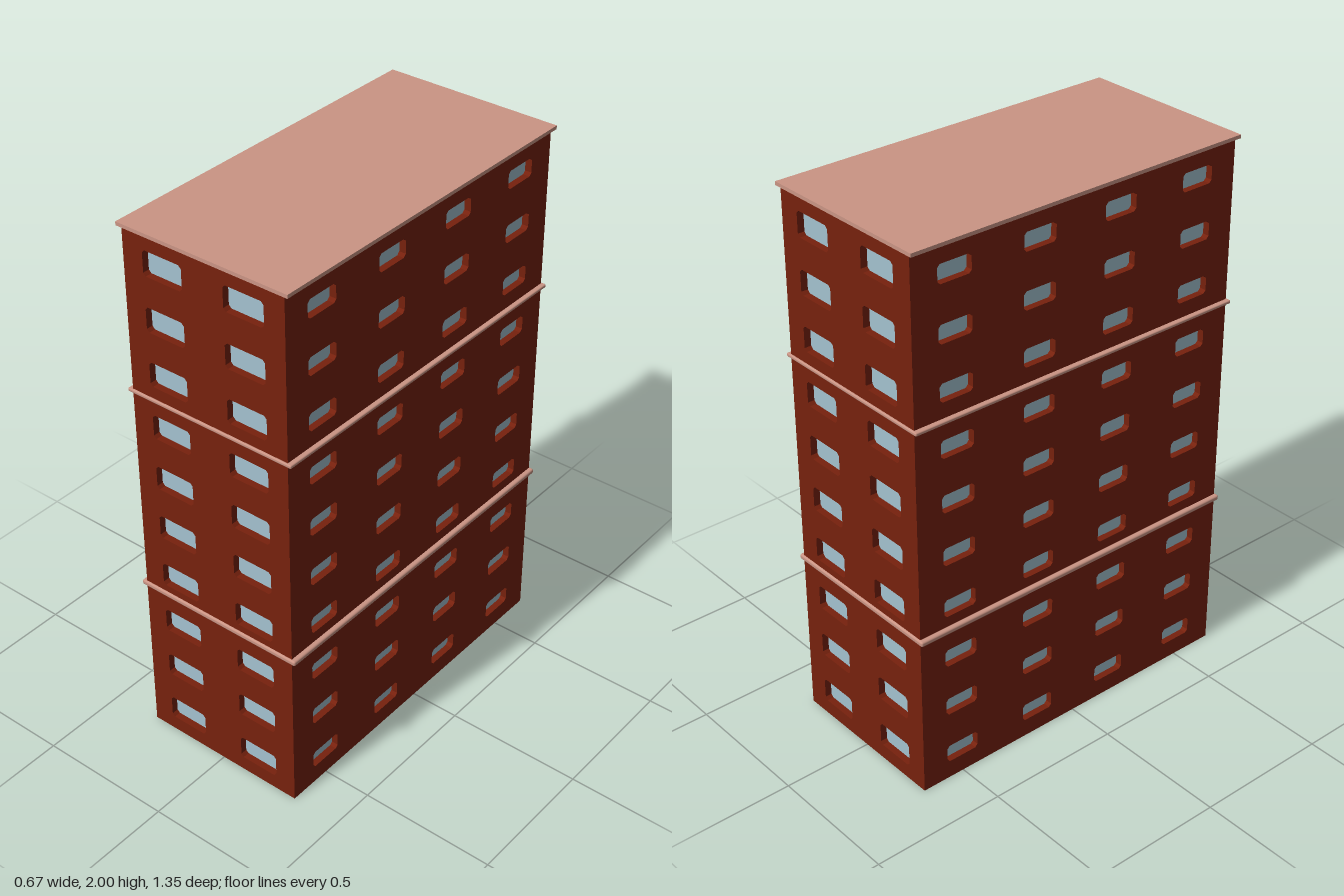
import * as THREE from 'three';
import { RoundedBoxGeometry } from 'three/addons/geometries/RoundedBoxGeometry.js';

const HX = 0.318, HZ = 0.667, TOP = 1.99, RECESS = 0.025;
const ROWS = Array.from({ length: 10 }, (_, i) => 0.1 + i * 0.199);

function material(name, color) {
  const m = new THREE.MeshStandardMaterial({ color });
  m.name = name;
  return m;
}

// Rectangle with clipped corners, used for each window opening
function clippedRect(cx, cy, w, h, c) {
  const a = w / 2, b = h / 2;
  return [
    [-a + c, -b], [-a, -b + c], [-a, b - c], [-a + c, b],
    [a - c, b], [a, b - c], [a, -b + c], [a - c, -b],
  ].map(([x, y]) => new THREE.Vector2(cx + x, cy + y));
}

export function createModel() {
  const brick = material('brick', 0x77210d);
  const stone = material('stone', 0xcb9585);
  const glass = material('glass', 0xa4c2d0);
  const model = new THREE.Group();
  model.name = 'building';

  const add = (parent, name, geometry, mat, x = 0, y = 0, z = 0) => {
    const mesh = new THREE.Mesh(geometry, mat);
    mesh.name = name;
    mesh.position.set(x, y, z);
    parent.add(mesh);
  };

  // A wall with recessed windows; its outer face lies at local z = 0
  function makeWall(name, halfWidth, columns, w, h) {
    const wall = new THREE.Group();
    wall.name = name;
    const shape = new THREE.Shape([
      new THREE.Vector2(-halfWidth, 0), new THREE.Vector2(halfWidth, 0),
      new THREE.Vector2(halfWidth, TOP), new THREE.Vector2(-halfWidth, TOP),
    ]);
    const pane = new THREE.BoxGeometry(w + 0.01, h + 0.01, 0.006);
    for (const x of columns) {
      for (const y of ROWS) {
        shape.holes.push(new THREE.Path(clippedRect(x, y, w, h, 0.01)));
        add(wall, 'windowPane', pane, glass, x, y, -RECESS - 0.003);
      }
    }
    const brickwork = new THREE.ExtrudeGeometry(shape, { depth: RECESS, bevelEnabled: false });
    add(wall, 'brickwork', brickwork, brick, 0, 0, -RECESS);
    model.add(wall);
    return wall;
  }

  // End walls have two window columns, long walls have four
  for (const s of [1, -1]) {
    const end = makeWall(s > 0 ? 'frontWall' : 'backWall', HX, [-0.16, 0.16], 0.157, 0.09);
    end.position.z = s * HZ;
    end.rotation.y = s > 0 ? 0 : Math.PI;
    const side = makeWall(s > 0 ? 'leftWall' : 'rightWall', HZ - RECESS,
      [-0.501, -0.167, 0.167, 0.501], 0.13, 0.066);
    side.position.x = s * HX;
    side.rotation.y = s * Math.PI / 2;
  }

  // Base plate closes the underside
  add(model, 'floor', new THREE.BoxGeometry(2 * (HX - RECESS), 0.01, 2 * (HZ - RECESS)), brick, 0, 0.005, 0);

  // Projecting stone courses and the roof slab
  for (const [y, h] of [[0.616, 0.02], [1.398, 0.013]]) {
    add(model, 'stoneBand', new RoundedBoxGeometry(0.67, h, 1.348, 2, h * 0.35), stone, 0, y, 0);
  }
  add(model, 'roofSlab', new THREE.BoxGeometry(0.67, 0.013, 1.348), stone, 0, 1.9935, 0);
  return model;
}
